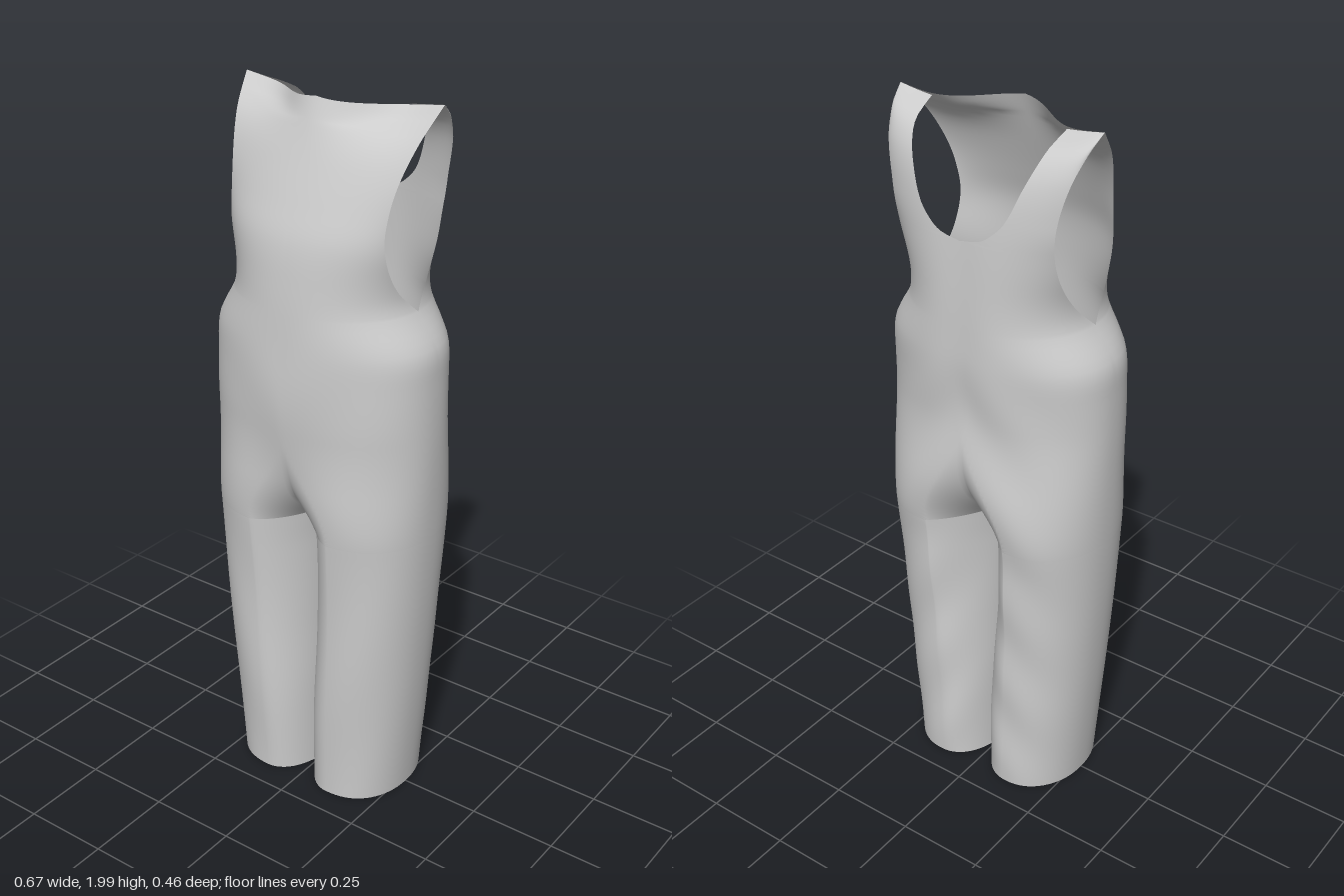
import * as THREE from 'three';
import { mergeVertices } from 'three/addons/utils/BufferGeometryUtils.js';

const { clamp, smoothstep } = THREE.MathUtils;

// Smooth lookup through [y, value] pairs, clamped at both ends
function curve(pts) {
  const n = pts.length - 1;
  const slope = (i) => {
    const a = pts[Math.max(i - 1, 0)], b = pts[Math.min(i + 1, n)];
    return (b[1] - a[1]) / (b[0] - a[0]);
  };
  return (y) => {
    if (y <= pts[0][0]) return pts[0][1];
    if (y >= pts[n][0]) return pts[n][1];
    let i = 0;
    while (y > pts[i + 1][0]) i++;
    const [y0, a] = pts[i], [y1, b] = pts[i + 1], h = y1 - y0, t = (y - y0) / h;
    const t2 = t * t, t3 = t2 * t;
    return (2 * t3 - 3 * t2 + 1) * a + (t3 - 2 * t2 + t) * h * slope(i)
      + (3 * t2 - 2 * t3) * b + (t3 - t2) * h * slope(i + 1);
  };
}

const HEM = 0.01, CROTCH = 0.85, ARM = 1.48, SCOOP = 1.71, TOP = 2;
const ROUND = 0.92; // below 1 gives slightly squared ovals

// Outer edge of the garment, centre lines and armhole edges by height
const sideX = curve([[0, 0.265], [0.4, 0.3], [0.8, 0.326], [1.1, 0.334], [1.3, 0.332], [1.38, 0.326],
  [1.43, 0.3], [1.48, 0.268], [1.55, 0.248], [1.65, 0.24], [1.72, 0.24], [1.82, 0.254], [2, 0.302]]);
const frontZ = curve([[0, 0.18], [0.4, 0.19], [0.8, 0.203], [1, 0.215], [1.2, 0.229], [1.4, 0.223],
  [1.55, 0.212], [1.66, 0.196], [1.75, 0.165], [1.88, 0.115], [2, 0.07]]);
const backZ = curve([[0, -0.182], [0.5, -0.19], [0.75, -0.203], [0.98, -0.222], [1.2, -0.212], [1.4, -0.22],
  [1.6, -0.216], [1.75, -0.205], [1.85, -0.187], [1.93, -0.153], [1.97, -0.115], [2, -0.045]]);
const armFrontZ = curve([[1.48, 0], [1.54, 0.06], [1.6, 0.095], [1.66, 0.112], [1.72, 0.109],
  [1.82, 0.082], [1.92, 0.03], [2, -0.04]]);
const armBackZ = curve([[1.48, 0], [1.54, -0.06], [1.62, -0.115], [1.7, -0.143], [1.78, -0.15],
  [1.89, -0.13], [1.96, -0.086], [2, -0.04]]);
const legGap = curve([[0, 0.001], [0.3, 0.003], [0.5, 0.008], [0.75, 0.007], [0.85, 0]]);
const neckX = curve([[1.71, 0], [1.72, 0.052], [1.74, 0.087], [1.78, 0.125], [1.86, 0.16], [1.94, 0.187], [2, 0.2]]);

// Point on the left half: u runs from the inner seam (0) to the side (1).
// Each section is an oval that opens from a full leg ring to half of the torso.
function point(y, u, isFront) {
  const xs = sideX(y), gap = legGap(y);
  const mid = isFront ? frontZ(y) : backZ(y);
  const edge = isFront ? armFrontZ(y) : armBackZ(y);
  const rise = smoothstep(y, 1.62, TOP);
  const power = ROUND + (isFront ? 9 * rise * rise : 0);

  // Outer end: the oval is cut off where it meets the armhole
  const base = edge * rise;
  const cut = Math.pow(clamp((edge - base) / (mid - base), 0, 1), 1 / power);
  const end = Math.asin(cut);

  // Inner end: closed ring in the legs, centre seam above, neckline at the straps
  const t = clamp((y - CROTCH) / (isFront ? 0.3 : 0.36), 0, 1);
  const cx = 0.4 * xs * (1 - smoothstep(t, 0, 1));
  const a = (xs - cx) / Math.pow(Math.cos(end), ROUND);
  let start = Math.PI - Math.asin(Math.sqrt(1 - (1 - t) ** 3));
  const reach = Math.max(-Math.cos(start), 1e-6);
  if (!isFront && y > SCOOP) start = Math.acos(Math.pow(neckX(y) / a, 1 / ROUND));

  // The inner thigh is drawn in diagonally towards the crotch
  const phi = start + (end - start) * u;
  const c = Math.cos(phi), s = Math.max(Math.sin(phi), 0);
  const taper = 1 + (isFront ? 0.3 : 0.6) * smoothstep(y, 0.2, CROTCH) * (1 - t);
  const inside = c < 0;
  const x = inside ? gap + Math.max(cx - gap, 0) * (1 - Math.pow(Math.min(-c / reach, 1), taper))
    : cx + a * Math.pow(c, ROUND);
  let z = base + (mid - base) * Math.pow(s, inside ? power * taper : power);

  // Soft cloth folds, fading out at the seams
  const fade = s * s * (1 - rise) * smoothstep(1.5 - y, 0, 0.3);
  z += fade * (isFront ? 0.003 * Math.sin(11 * y - 16 * x) : 0.003 * Math.sin(21 * y + 24 * x));
  if (!isFront) z += 0.008 * Math.exp(-x * x / 0.005) * smoothstep(y, 1.05, 1.35) * (1 - rise);

  const dip = 0.014 * smoothstep(y, 1.85, TOP) * Math.sin(Math.PI * Math.min(x / xs, 1));
  return [x, y - dip, z];
}

export function createModel() {
  const group = new THREE.Group();
  group.name = 'dungarees';
  const material = new THREE.MeshStandardMaterial({ color: 0xcccccc, side: THREE.DoubleSide });
  const positions = [], parts = [];
  const COLS = 36;

  // Sheet of cloth between two heights, rows packed towards the lower edge by ease
  function sheet(y0, y1, rows, ease, isFront, side) {
    const at = (i, j) => {
      const [x, y, z] = point(y0 + (y1 - y0) * Math.pow(j / rows, ease), i / COLS, isFront);
      return [x * side, y, z];
    };
    const flip = isFront !== (side > 0);
    for (let j = 0; j < rows; j++) {
      for (let i = 0; i < COLS; i++) {
        const a = at(i, j), b = at(i + 1, j), c = at(i + 1, j + 1), d = at(i, j + 1);
        for (const p of flip ? [a, c, b, a, d, c] : [a, b, c, a, c, d]) positions.push(...p);
      }
    }
  }
  function part(name, build) {
    const start = positions.length / 3;
    build();
    parts.push({ name, start, end: positions.length / 3 });
  }

  for (const side of [1, -1]) {
    const label = side > 0 ? 'left' : 'right';
    part(label + 'Leg', () => [true, false].forEach((f) => sheet(HEM, CROTCH, 44, 1, f, side)));
    part(label + 'Hip', () => [true, false].forEach((f) => sheet(CROTCH, ARM, 48, 1.7, f, side)));
    part(label + 'Bib', () => sheet(ARM, TOP, 36, 1.2, true, side));
    part(label + 'BackPanel', () => sheet(ARM, SCOOP, 14, 1.2, false, side));
    part(label + 'Strap', () => sheet(SCOOP, TOP, 30, 1.6, false, side));
  }

  // Weld all sheets so that shading runs smoothly across the seams
  const soup = new THREE.BufferGeometry();
  soup.setAttribute('position', new THREE.Float32BufferAttribute(positions, 3));
  const welded = mergeVertices(soup, 1e-4);
  welded.computeVertexNormals();
  const index = Array.from(welded.index.array);

  for (const { name, start, end } of parts) {
    const geometry = new THREE.BufferGeometry();
    geometry.setAttribute('position', welded.attributes.position);
    geometry.setAttribute('normal', welded.attributes.normal);
    geometry.setIndex(index.slice(start, end));
    const mesh = new THREE.Mesh(geometry, material);
    mesh.name = name;
    group.add(mesh);
  }
  return group;
}
